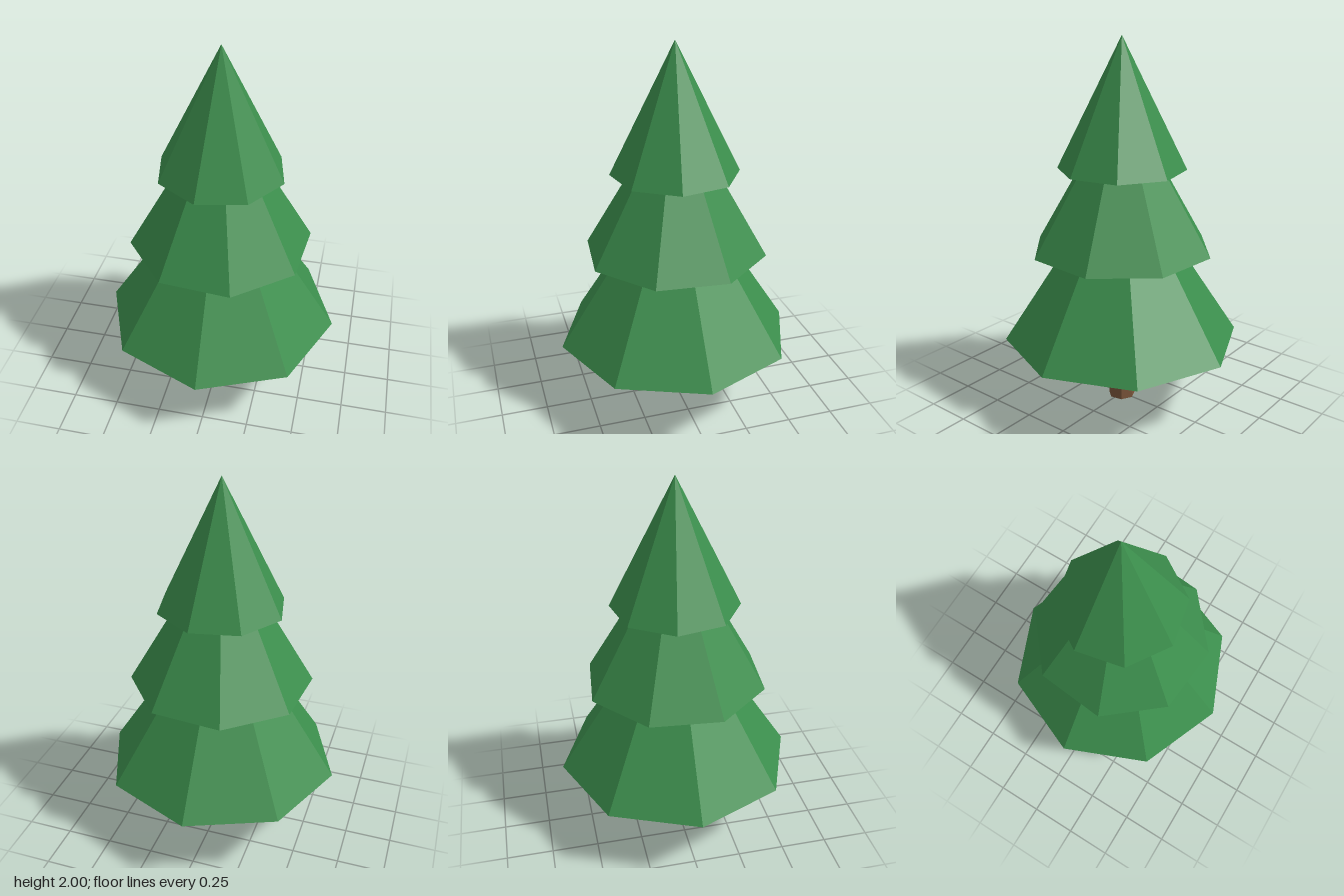
import * as THREE from 'three';

export function createModel() {
  const tree = new THREE.Group();
  tree.name = 'pineTree';

  const needleGreen = new THREE.MeshStandardMaterial({ color: 0x3c8f4d, flatShading: true });
  needleGreen.name = 'needleGreen';
  const barkBrown = new THREE.MeshStandardMaterial({ color: 0x7a553a, flatShading: true });
  barkBrown.name = 'barkBrown';

  // Adds a faceted part standing on the given height
  function addPart(name, geometry, material, height, baseY, turn) {
    const mesh = new THREE.Mesh(geometry, material);
    mesh.name = name;
    mesh.position.y = baseY + height / 2;
    mesh.rotation.y = turn;
    tree.add(mesh);
  }

  // Tapered seven-sided trunk, running up into the lowest tier
  addPart('trunk', new THREE.CylinderGeometry(0.057, 0.0755, 0.453, 7), barkBrown, 0.453, 0, 0.4);

  // Eight-sided foliage cones, each turned a little further than the one below
  const tiers = [
    { name: 'lowerFoliage', radius: 0.642, height: 0.981, y: 0.377 },
    { name: 'middleFoliage', radius: 0.491, height: 0.83, y: 0.887 },
    { name: 'upperFoliage', radius: 0.34, height: 0.679, y: 1.321 },
  ];
  tiers.forEach(({ name, radius, height, y }, i) => {
    addPart(name, new THREE.ConeGeometry(radius, height, 8), needleGreen, height, y, i * 0.3);
  });

  return tree;
}
